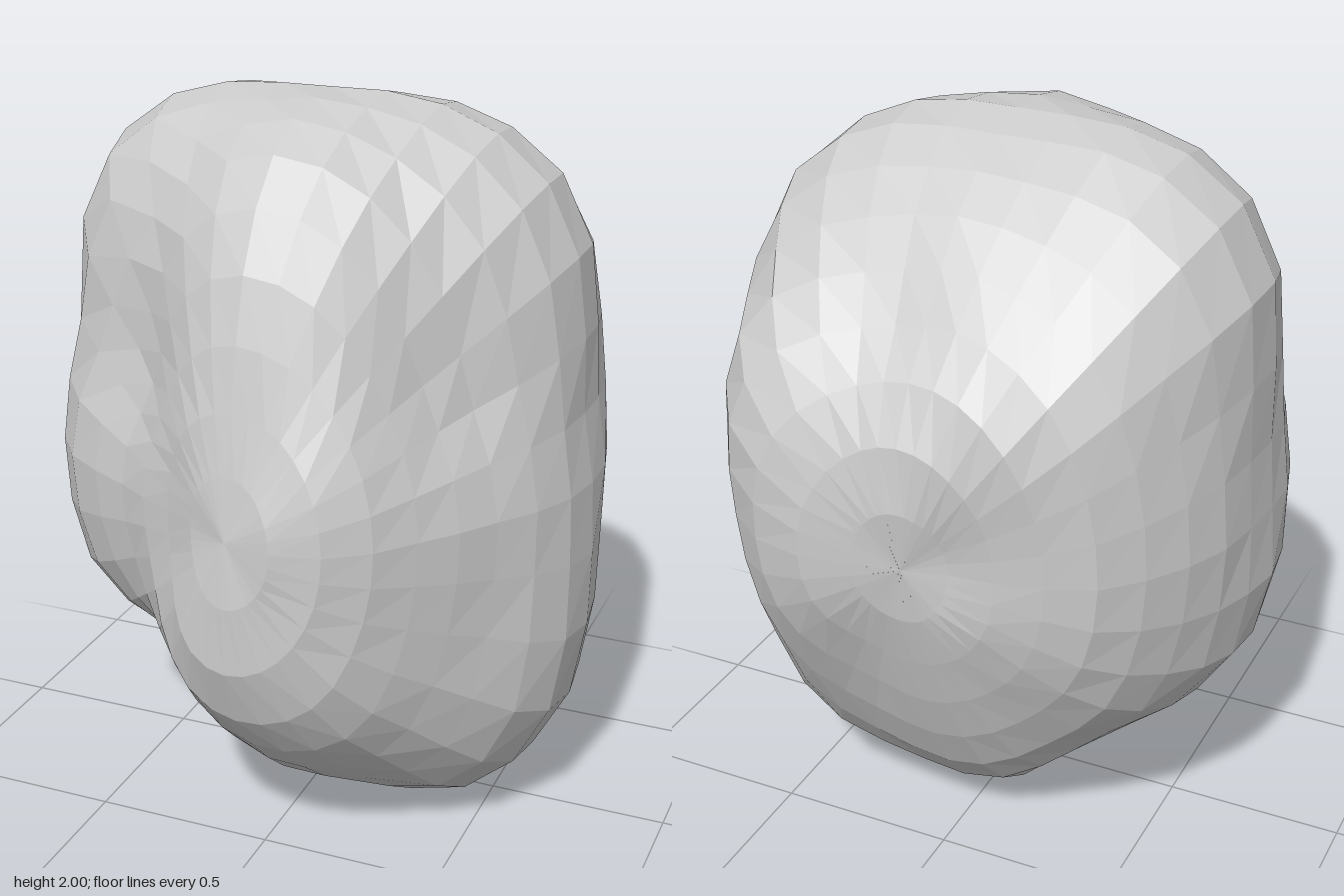
import * as THREE from 'three';

const size = new THREE.Vector3(0.74, 1, 0.74); // half sizes of the underlying ellipsoid

// Outlines of the boulder around its centre, as [u, v] points
const frontOutline = [ // x, y
  [0.71, 1.49], [0.68, 1.68], [0.57, 1.85], [0.4, 1.95], [0.2, 2], [0.02, 2], [-0.17, 2], [-0.37, 1.98],
  [-0.56, 1.91], [-0.7, 1.75], [-0.74, 1.53], [-0.72, 1.3], [-0.73, 1.05], [-0.76, 0.87], [-0.76, 0.72],
  [-0.7, 0.55], [-0.58, 0.41], [-0.42, 0.32], [-0.2, 0.19], [0.02, 0.05], [0.23, -0.01], [0.43, 0.02],
  [0.6, 0.15], [0.71, 0.34], [0.75, 0.55], [0.76, 0.72], [0.74, 0.95], [0.71, 1.2],
].map(([x, y]) => [x / size.x, y - 1]);
const sideOutline = [ // z, y
  [0.07, 2], [0.25, 1.98], [0.42, 1.9], [0.54, 1.77], [0.62, 1.58], [0.65, 1.4], [0.68, 1.2], [0.72, 0.98],
  [0.75, 0.78], [0.74, 0.6], [0.67, 0.43], [0.56, 0.3], [0.42, 0.17], [0.26, 0.07], [0.08, 0],
  [-0.12, 0], [-0.3, 0.08], [-0.45, 0.23], [-0.54, 0.4], [-0.61, 0.6], [-0.66, 0.78], [-0.72, 0.95],
  [-0.745, 1.1], [-0.73, 1.25], [-0.66, 1.44], [-0.55, 1.62], [-0.43, 1.76], [-0.28, 1.88], [-0.12, 1.96],
].map(([z, y]) => [z / size.z, y - 1]);
const topOutline = [ // x, z
  [0.26, -0.75], [0.4, -0.72], [0.51, -0.64], [0.59, -0.52], [0.66, -0.37], [0.71, -0.27], [0.75, -0.12],
  [0.75, 0.03], [0.7, 0.18], [0.58, 0.36], [0.46, 0.52], [0.38, 0.62], [0.3, 0.69], [0.2, 0.74], [0.12, 0.75],
  [0.03, 0.73], [-0.06, 0.68], [-0.2, 0.6], [-0.38, 0.5], [-0.53, 0.43], [-0.67, 0.33], [-0.74, 0.2],
  [-0.75, 0.05], [-0.73, -0.12], [-0.7, -0.28], [-0.61, -0.44], [-0.5, -0.57], [-0.33, -0.64], [-0.1, -0.69],
  [0.1, -0.73],
].map(([x, z]) => [x / size.x, z / size.z]);

// Worn corners (negative) and swellings (positive): direction, height, spread
const bumps = [
  [[-0.5, 0.6, 0.5], -0.13, 0.14],    // upper front, right-hand corner
  [[-0.4, -0.67, 0.4], -0.1, 0.16],   // lower front, right-hand corner
  [[0.55, 0.55, 0.45], -0.11, 0.15],  // upper front, left-hand corner
  [[0.5, 0.38, -0.55], 0.06, 0.12],   // upper back, left-hand shoulder
  [[-0.34, 0.44, -0.65], 0.05, 0.08], // upper back, right-hand shoulder
  [[0.1, 0.6, -0.5], -0.04, 0.06],    // groove between the shoulders
  [[-0.12, 0.05, -1], -0.03, 0.06],   // hollow in the back
].map(([dir, height, spread]) => ({ dir: new THREE.Vector3(...dir).normalize(), height, spread }));

// Returns a function giving an outline's radius at the angle of (u, v)
function polarRadius(points) {
  const polar = points.map(([u, v]) => [Math.atan2(v, u), Math.hypot(u, v)]).sort((a, b) => a[0] - b[0]);
  const first = polar[0], last = polar[polar.length - 1];
  const ring = [[last[0] - 2 * Math.PI, last[1]], ...polar, [first[0] + 2 * Math.PI, first[1]]];
  return (u, v) => {
    const a = Math.atan2(v, u);
    let i = 1;
    while (i < ring.length - 1 && ring[i][0] < a) i++;
    const [a0, r0] = ring[i - 1], [a1, r1] = ring[i];
    return r0 + (r1 - r0) * (a - a0) / (a1 - a0);
  };
}

const frontRadius = polarRadius(frontOutline);
const sideRadius = polarRadius(sideOutline);
const topRadius = polarRadius(topOutline);

// Blends the three outlines, each counting most near its own plane
function radiusAt(d) {
  const weight = (c) => (c * c + 0.02) ** -1.5;
  const wf = weight(d.z), ws = weight(d.x), wt = weight(d.y);
  return (wf * frontRadius(d.x, d.y) + ws * sideRadius(d.z, d.y) + wt * topRadius(d.x, d.z)) / (wf + ws + wt);
}

export function createModel() {
  const stone = new THREE.MeshStandardMaterial({ color: 0xcccccc, flatShading: true });
  stone.name = 'stone grey';

  // Sphere with its poles at front and back, pushed out to the boulder's shape
  const geometry = new THREE.SphereGeometry(1, 32, 18).rotateX(Math.PI / 2);
  const pos = geometry.attributes.position;
  const p = new THREE.Vector3(), outward = new THREE.Vector3();
  for (let i = 0; i < pos.count; i++) {
    p.fromBufferAttribute(pos, i).normalize();
    p.multiplyScalar(radiusAt(p)).multiply(size);
    outward.copy(p).normalize();
    for (const { dir, height, spread } of bumps) {
      p.addScaledVector(outward, height * Math.exp(-outward.distanceToSquared(dir) / spread));
    }
    pos.setXYZ(i, p.x, p.y + 1, p.z);
  }
  geometry.computeVertexNormals();

  const boulder = new THREE.Mesh(geometry, stone);
  boulder.name = 'boulder';

  const group = new THREE.Group();
  group.name = 'rock';
  group.add(boulder);
  return group;
}
